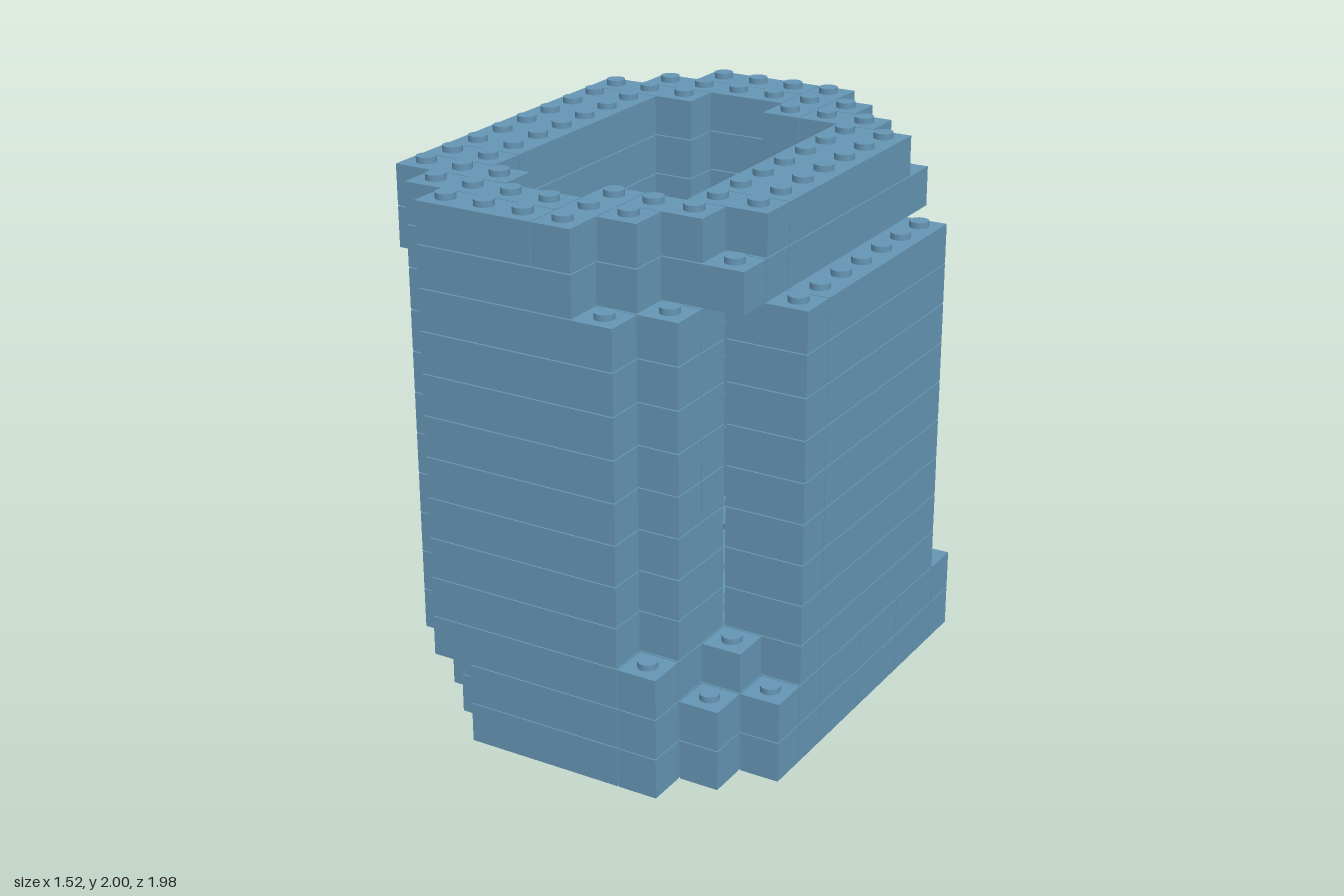
import * as THREE from 'three';
import { mergeGeometries } from 'three/addons/utils/BufferGeometryUtils.js';

const P = 1.98 / 13;      // stud pitch and course height
const GAP = 0.004;        // seam between bricks
const COLS = 10, ROWS = 13, COURSES = 13;

// A brick covers columns c0..c1 and rows r0..r1 (inclusive); row 12 is the front
const mirrorRows = ([c0, c1, r0, r1]) => [c0, c1, ROWS - 1 - r1, ROWS - 1 - r0];
const bothEnds = (list) => [...list, ...list.map(mirrorRows)];

// Solid stepped base
function baseCourse() {
  const list = bothEnds([
    [3, 6, 12, 12], [7, 7, 12, 12],
    [2, 7, 11, 11], [8, 8, 11, 11],
    [1, 8, 10, 10], [9, 9, 10, 10],
  ]);
  for (const [r0, r1] of [[3, 4], [5, 6], [7, 8], [9, 9]]) {
    list.push([0, 1, r0, r1], [2, 6, r0, r1], [7, 9, r0, r1]);
  }
  return list;
}

// Long side walls, two studs thick
const sideWalls = (left, right) => [
  [left, left + 1, 3, 8], [left, left + 1, 9, 9],
  [right, right + 1, 3, 8], [right, right + 1, 9, 9],
];

// Stepped end walls of the tall body
const bodyEnds = bothEnds([[2, 6, 12, 12], [1, 7, 11, 11], [1, 2, 10, 10], [6, 7, 10, 10]]);

function bricksOf(course) {
  if (course < 2) return baseCourse();
  if (course === 2) {
    return [...sideWalls(0, 8), ...bodyEnds, [7, 7, 12, 12], [8, 8, 10, 10], [8, 8, 2, 2]];
  }
  if (course < 11) return [...sideWalls(0, 8), ...bodyEnds];
  if (course === 11) {
    return [...sideWalls(0, 7),
      ...bothEnds([[2, 5, 12, 12], [1, 6, 11, 11], [0, 2, 10, 10], [6, 8, 10, 10]])];
  }
  // Top course, tied together by a brick running inward at each end
  return [...sideWalls(0, 7),
    ...bothEnds([[2, 4, 12, 12], [1, 4, 11, 11], [5, 5, 10, 12],
      [6, 6, 11, 11], [0, 2, 10, 10], [6, 7, 10, 10]])];
}

const colX = (c) => (c - COLS / 2) * P;
const rowZ = (r) => (r - ROWS / 2) * P;

function brickGeometry([c0, c1, r0, r1], course) {
  const w = (c1 - c0 + 1) * P, d = (r1 - r0 + 1) * P;
  return new THREE.BoxGeometry(w - GAP, P - GAP, d - GAP)
    .translate(colX(c0) + w / 2, (course + 0.5) * P, rowZ(r0) + d / 2);
}

function studGeometry(c, r, course) {
  return new THREE.CylinderGeometry(0.036, 0.036, 0.022, 16)
    .translate(colX(c + 0.5), (course + 1) * P + 0.009, rowZ(r + 0.5));
}

function cellsOf(bricks) {
  const cells = new Map();
  for (const [c0, c1, r0, r1] of bricks) {
    for (let c = c0; c <= c1; c++) for (let r = r0; r <= r1; r++) cells.set(c + ',' + r, [c, r]);
  }
  return cells;
}

export function createModel() {
  const model = new THREE.Group();
  model.name = 'brickTower';
  const blue = new THREE.MeshStandardMaterial({ color: 0x6595b4 });
  blue.name = 'sandBlue';

  for (let course = 0; course < COURSES; course++) {
    const bricks = bricksOf(course);
    const part = course < 2 ? 'base' : course < 11 ? 'wall' : 'rim';
    const body = new THREE.Mesh(mergeGeometries(bricks.map((b) => brickGeometry(b, course))), blue);
    body.name = part + 'Course' + (course + 1);
    model.add(body);

    // Studs wherever nothing rests on the brick
    const above = course + 1 < COURSES ? cellsOf(bricksOf(course + 1)) : new Map();
    const studs = [];
    for (const [key, [c, r]] of cellsOf(bricks)) {
      if (!above.has(key)) studs.push(studGeometry(c, r, course));
    }
    if (studs.length) {
      const mesh = new THREE.Mesh(mergeGeometries(studs), blue);
      mesh.name = part + 'Studs' + (course + 1);
      model.add(mesh);
    }
  }
  return model;
}
